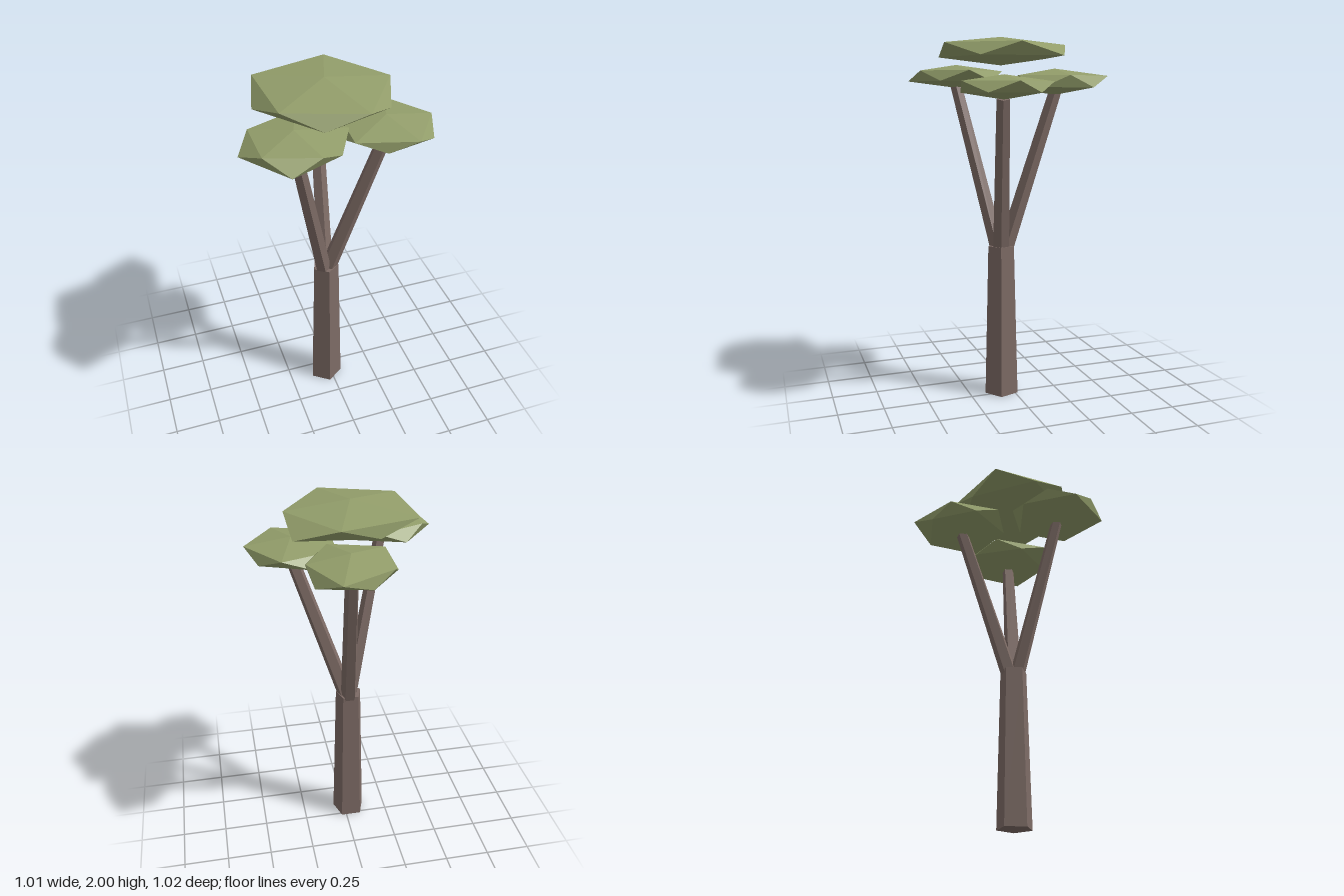
import * as THREE from 'three';

const bark = new THREE.MeshStandardMaterial({ color: 0x7d6b65, flatShading: true });
const leaf = new THREE.MeshStandardMaterial({ color: 0x929d6a, flatShading: true });

// Five-sided tapered limb between two points
function limb(name, from, to, rFrom, rTo) {
  const a = new THREE.Vector3(...from), b = new THREE.Vector3(...to);
  const dir = b.clone().sub(a);
  const mesh = new THREE.Mesh(new THREE.CylinderGeometry(rTo, rFrom, dir.length(), 5), bark);
  mesh.position.copy(a).add(b).multiplyScalar(0.5);
  mesh.quaternion.setFromUnitVectors(new THREE.Vector3(0, 1, 0), dir.normalize());
  mesh.name = name;
  return mesh;
}

// Flattened twenty-sided clump: two poles and two staggered rings of five
// uneven radii; the rings sit at +-0.447 of the half height
function clump(name, [x, y, z], halfHeight, upper, lower) {
  const points = [0, halfHeight, 0, 0, -halfHeight, 0];
  const addRing = (radii, start, h) => radii.forEach((r, k) => {
    const a = start + (k * Math.PI * 2) / 5;
    points.push(r * Math.cos(a), h, r * Math.sin(a));
  });
  addRing(upper, 0, halfHeight * 0.447);
  addRing(lower, Math.PI / 5, -halfHeight * 0.447);

  const faces = [];
  for (let k = 0; k < 5; k++) {
    const n = (k + 1) % 5;
    const u = 2 + k, u2 = 2 + n, l = 7 + k, l2 = 7 + n;
    faces.push(0, u2, u, u, u2, l, l, u2, l2, 1, l, l2);
  }
  const indexed = new THREE.BufferGeometry();
  indexed.setAttribute('position', new THREE.Float32BufferAttribute(points, 3));
  indexed.setIndex(faces);
  const geometry = indexed.toNonIndexed();
  geometry.computeVertexNormals();
  const mesh = new THREE.Mesh(geometry, leaf);
  mesh.position.set(x, y, z);
  mesh.name = name;
  return mesh;
}

export function createModel() {
  const tree = new THREE.Group();
  tree.name = 'tree';

  // Trunk and three spreading branches
  tree.add(
    limb('trunk', [-0.029, 0, 0.064], [-0.029, 0.86, 0.064], 0.097, 0.075),
    limb('rightBranch', [-0.04, 0.83, 0.078], [-0.243, 1.75, 0.257], 0.043, 0.033),
    limb('leftBranch', [-0.018, 0.83, 0.068], [0.26, 1.675, 0.146], 0.047, 0.036),
    limb('backBranch', [-0.025, 0.83, 0.045], [0.015, 1.71, -0.235], 0.046, 0.036),
  );

  // Leaf clumps: one on each branch and a wide one above
  tree.add(
    clump('topLeaves', [-0.033, 1.925, 0.062], 0.075,
      [0.338, 0.357, 0.345, 0.37, 0.347], [0.33, 0.335, 0.357, 0.3, 0.4]),
    clump('rightLeaves', [-0.244, 1.795, 0.255], 0.063,
      [0.27, 0.23, 0.23, 0.23, 0.255], [0.234, 0.268, 0.266, 0.25, 0.25]),
    clump('leftLeaves', [0.26, 1.732, 0.142], 0.063,
      [0.245, 0.255, 0.27, 0.25, 0.256], [0.245, 0.22, 0.24, 0.25, 0.227]),
    clump('backLeaves', [0.02, 1.764, -0.23], 0.071,
      [0.22, 0.25, 0.25, 0.228, 0.293], [0.25, 0.24, 0.235, 0.217, 0.246]),
  );
  return tree;
}
